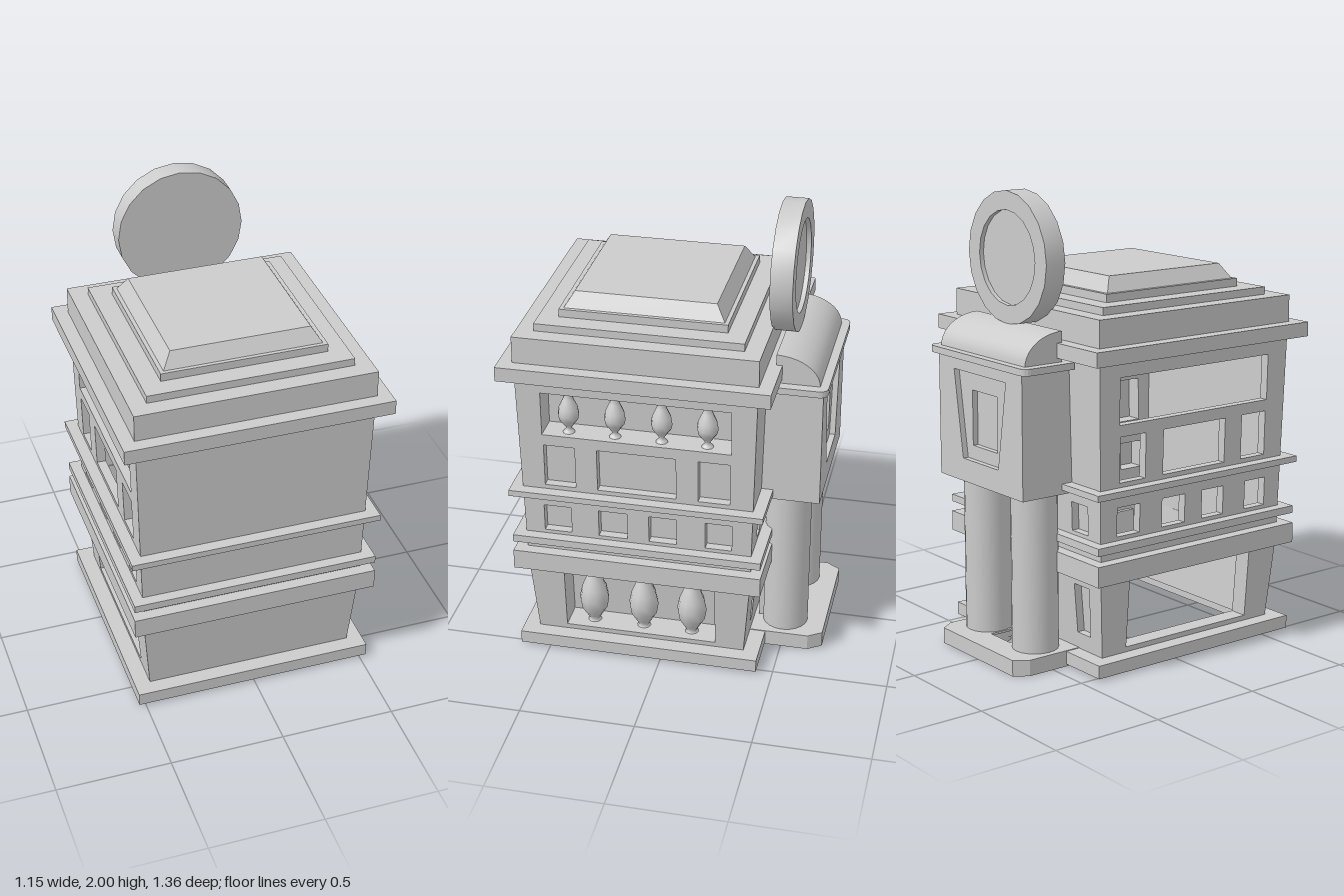
import * as THREE from 'three';
import { toCreasedNormals } from 'three/addons/utils/BufferGeometryUtils.js';

const CZ = 0.1; // centre of the square tower in z

export function createModel() {
  const root = new THREE.Group();
  const mat = new THREE.MeshStandardMaterial({ color: 0xcccccc });

  const add = (name, geo, parent = root) => {
    const mesh = new THREE.Mesh(geo, mat);
    mesh.name = name;
    parent.add(mesh);
    return mesh;
  };
  const box = (name, x0, x1, y0, y1, z0, z1) =>
    add(name, new THREE.BoxGeometry(x1 - x0, y1 - y0, z1 - z0)
      .translate((x0 + x1) / 2, (y0 + y1) / 2, (z0 + z1) / 2));
  const slab = (name, h, y0, y1) => box(name, -h, h, y0, y1, CZ - h, CZ + h);
  const polygon = (pts, Type = THREE.Shape) => new Type(pts.map(([x, y]) => new THREE.Vector2(x, y)));
  const rect = (x0, x1, y0, y1) => [[x0, y0], [x1, y0], [x1, y1], [x0, y1]];
  const extrude = (pts, depth, holes = []) => {
    const shape = polygon(pts);
    shape.holes = holes.map((h) => polygon(h, THREE.Path));
    return new THREE.ExtrudeGeometry(shape, { depth, bevelEnabled: false });
  };
  // Horizontal plate: outline given as [x, -z]
  const plate = (name, pts, y0, y1, holes) =>
    add(name, extrude(pts, y1 - y0, holes).rotateX(-Math.PI / 2).translate(0, y0, 0));
  // Square band around the hollow tower
  const square = (h) => rect(-h, h, -CZ - h, -CZ + h);
  const band = (name, h, y0, y1, inner = 0.465) => plate(name, square(h), y0, y1, [square(inner)]);

  // Leaning wall with openings; an opening with a recess gets a back panel
  function wall(name, storey, angle, depth, openings) {
    const { y0, y1, h0, h1 } = storey;
    const half = (y) => h0 + ((h1 - h0) * (y - y0)) / (y1 - y0);
    const lean = (geo) => {
      const p = geo.attributes.position;
      for (let i = 0; i < p.count; i++) p.setZ(i, p.getZ(i) + half(p.getY(i)));
      geo.computeVertexNormals();
      return geo;
    };
    const group = new THREE.Group();
    group.name = name;
    group.position.z = CZ;
    group.rotation.y = angle;
    const outline = [[-h0, y0], [h0, y0], [h1, y1], [-h1, y1]];
    add(name + 'Surface', lean(extrude(outline, depth, openings.map((o) => rect(...o.r))).translate(0, 0, -depth)), group);
    for (const { r: [a, b, c, d], recess } of openings) {
      if (!recess) continue;
      const geo = new THREE.BoxGeometry(b - a + 0.02, d - c + 0.02, 0.02);
      add('recessPanel', lean(geo.translate((a + b) / 2, (c + d) / 2, -recess - 0.01)), group);
    }
    root.add(group);
  }

  const lower = { y0: 0.05, y1: 0.42, h0: 0.46, h1: 0.49 };
  const upper = { y0: 0.41, y1: 1.51, h0: 0.49, h1: 0.517 };
  const lowerOpenings = [{ r: [-0.335, 0.335, 0.09, 0.39], recess: 0.13 }];
  const upperOpenings = [{ r: [-0.405, 0.405, 1.07, 1.27], recess: 0.12 }];
  for (const [a, b] of [[-0.4, -0.265], [-0.17, 0.17], [0.265, 0.4]])
    upperOpenings.push({ r: [a, b, 0.825, 1.02], recess: 0.04 });
  for (const [a, b] of [[-0.41, -0.29], [-0.17, -0.045], [0.05, 0.17], [0.295, 0.41]])
    upperOpenings.push({ r: [a, b, 0.595, 0.72], recess: 0.04 });
  const pierced = (list) => list.map((o) => ({ r: o.r }));
  const backPanels = (y0, y1, x0, x1) => [[-x1, -x0], [x0, x1]].map(([a, b]) => ({ r: [a, b, y0, y1], recess: 0.035 }));

  // Plain front, niched right-hand side, pierced opposite side, panelled back
  for (const [tag, storey, side, openDepth, back] of [
    ['lower', lower, lowerOpenings, 0.08, backPanels(0.14, 0.36, 0.3, 0.42)],
    ['upper', upper, upperOpenings, 0.04, backPanels(0.595, 0.72, 0.3, 0.41)],
  ]) {
    wall(tag + 'FrontWall', storey, 0, 0.04, []);
    wall(tag + 'NicheWall', storey, Math.PI / 2, 0.13, side);
    wall(tag + 'OpenWall', storey, -Math.PI / 2, openDepth, pierced(side));
    wall(tag + 'BackWall', storey, Math.PI, 0.06, back);
  }
  // Underside of the lower opening's sill
  add('openingSill', new THREE.PlaneGeometry(0.14, 0.67).rotateX(Math.PI / 2).translate(-0.39, 0.088, CZ));

  // Base ring and projecting bands
  band('baseRing', 0.53, 0.01, 0.067, 0.44);
  band('mainBand', 0.543, 0.411, 0.5);
  band('thinBand', 0.542, 0.545, 0.578);
  band('middleBand', 0.55, 0.778, 0.805);
  band('cornice', 0.576, 1.34, 1.403);

  // Stepped roof with a sloped cap
  slab('roofBlock', 0.517, 1.4, 1.52);
  slab('lowerRoofStep', 0.442, 1.52, 1.553);
  slab('upperRoofStep', 0.357, 1.553, 1.588);
  add('roofCap', new THREE.CylinderGeometry(0.3 * Math.SQRT2, 0.34 * Math.SQRT2, 0.064, 4, 1)
    .rotateY(Math.PI / 4).toNonIndexed().translate(0, 1.62, CZ)).geometry.computeVertexNormals();

  // Balusters standing in the two niches
  function balusters(name, profile, zs, x, y0, height, r) {
    const geo = new THREE.LatheGeometry(profile.map(([a, b]) => new THREE.Vector2(a * r, b * height)), 10);
    for (const z of zs) add(name, geo).position.set(x, y0, z);
  }
  const tall = [[0.5, 0], [0.32, 0.03], [0.5, 0.1], [0.88, 0.24], [1, 0.4], [0.85, 0.56],
    [0.5, 0.75], [0.28, 0.88], [0.42, 0.94], [0.68, 1]];
  const short = [[0.6, 0], [0.4, 0.06], [0.22, 0.11], [0.5, 0.2], [0.88, 0.32], [1, 0.43],
    [0.9, 0.58], [0.5, 0.78], [0.25, 0.92], [0.6, 1]];
  balusters('lowerBaluster', tall, [0.325, 0.1, -0.117], 0.395, 0.088, 0.304, 0.066);
  balusters('upperBaluster', short, [0.4, 0.2, 0, -0.195], 0.455, 1.068, 0.204, 0.046);

  // Portico plinth: chamfered rim with a thin top notched between the columns
  const plinth = (s) => [[-0.302 + s, 0.36 + s], [0.302 - s, 0.36 + s], [0.302 - s, 0.62 - s / 2],
    [0.262 - s / 2, 0.68 - s], [-0.262 + s / 2, 0.68 - s], [-0.302 + s, 0.62 - s / 2]];
  plate('plinthRim', plinth(0), 0, 0.06, [plinth(0.02)]);
  plate('plinthTop', plinth(0), 0.06, 0.07, [rect(-0.07, 0.07, 0.4, 0.56)]);

  // Engaged columns, squared off on their inner sides
  for (const s of [-1, 1]) {
    add('column', new THREE.CylinderGeometry(0.1, 0.1, 0.75, 20).translate(s * 0.175, 0.385, -0.5));
    const [a, b] = [s * 0.083, s * 0.175].sort((p, q) => p - q);
    box('columnJamb', a, b, 0.03, 0.77, -0.535, -0.38);
  }

  // Portico block with a two-step keystone recess on the back
  const face = rect(-0.305, 0.305, 0.76, 1.3);
  const keystone = [[-0.13, 0.86], [0.13, 0.86], [0.19, 1.24], [-0.19, 1.24]];
  box('porticoBlock', -0.305, 0.305, 0.76, 1.3, -0.6, -0.4);
  add('keystoneFrame', extrude(face, 0.025, [keystone]).translate(0, 0, -0.65));
  add('innerFrame', extrude(face, 0.025, [rect(-0.09, 0.09, 0.92, 1.16)]).translate(0, 0, -0.625));

  // Portico cornice with rounded back corners
  const rounded = [[-0.352, 0.42], [0.352, 0.42]];
  for (const [cx, start] of [[0.317, 0], [-0.317, Math.PI / 2]])
    for (let i = 0; i <= 4; i++) {
      const a = start + (i / 4) * (Math.PI / 2);
      rounded.push([cx + 0.035 * Math.cos(a), 0.637 + 0.035 * Math.sin(a)]);
    }
  plate('porticoCornice', rounded, 1.293, 1.322);

  // Quarter-round portico roof
  const arc = [[0.45, 1.32]];
  for (let i = 0; i <= 10; i++) {
    const a = (i / 10) * (Math.PI / 2);
    arc.push([0.45 + 0.186 * Math.cos(a), 1.32 + 0.13 * Math.sin(a)]);
  }
  add('porticoRoof', toCreasedNormals(extrude(arc, 0.616).rotateY(Math.PI / 2).translate(-0.308, 0, 0), 0.6));

  // Upright disc with a dished back
  const disc = [[0, 0.41], [0.28, 0.41], [0.28, 0.505], [0.2, 0.505], [0.2, 0.485], [0, 0.485]];
  add('disc', toCreasedNormals(new THREE.LatheGeometry(disc.map(([r, d]) => new THREE.Vector2(r, d)), 20)
    .rotateX(-Math.PI / 2).translate(0, 1.72, 0), 0.6));

  return root;
}
